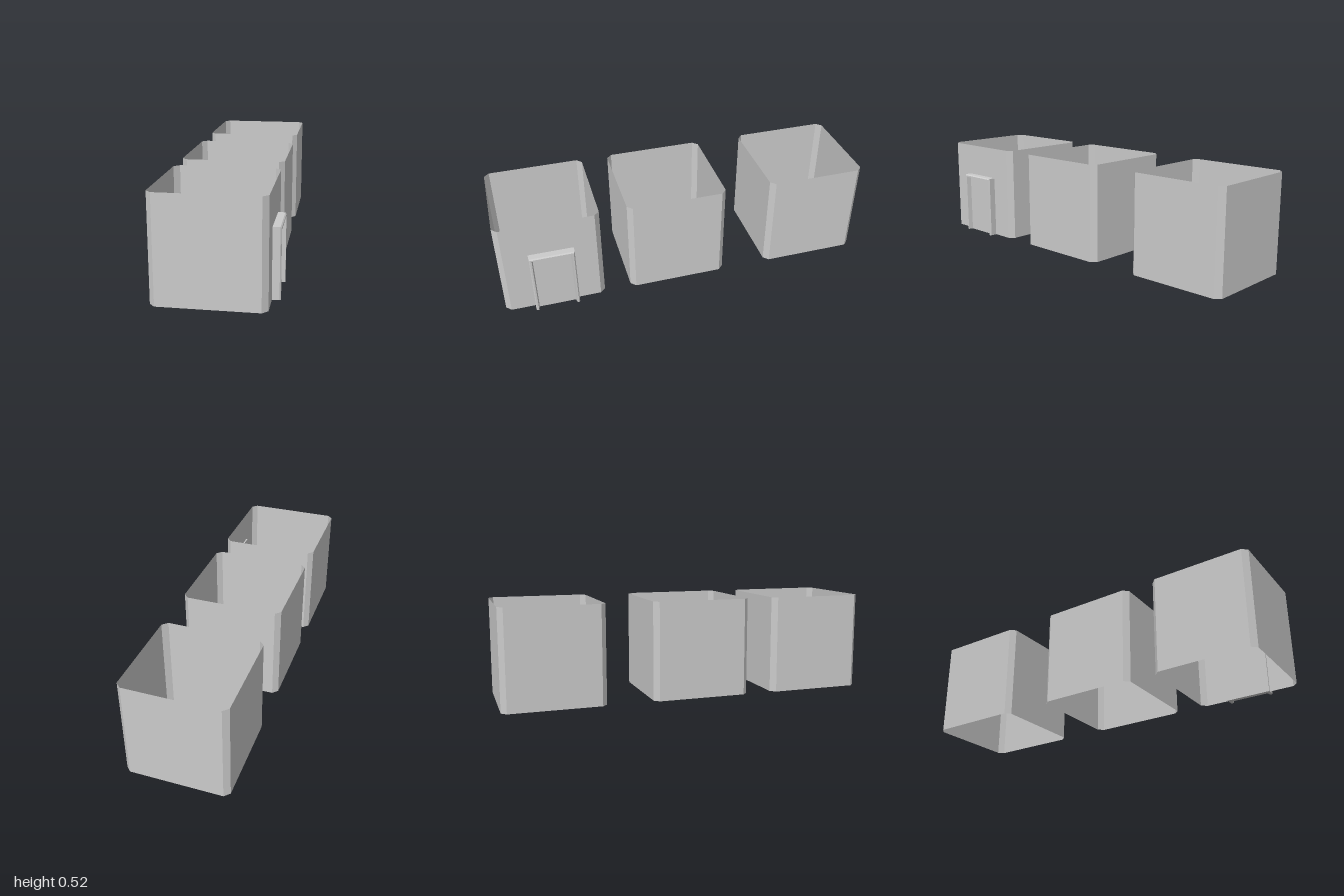
import * as THREE from 'three';

const grey = new THREE.MeshStandardMaterial({ color: 0xcccccc, flatShading: true, side: THREE.DoubleSide });

// Skin a list of closed rings of [x, y, z] points with flat quads
function loft(rings, capped) {
  const pos = [];
  const tri = (a, b, c) => pos.push(...a, ...b, ...c);
  const n = rings[0].length;
  for (let i = 0; i < rings.length - 1; i++) {
    const lo = rings[i], hi = rings[i + 1];
    for (let k = 0; k < n; k++) {
      const m = (k + 1) % n;
      tri(lo[k], lo[m], hi[m]);
      tri(lo[k], hi[m], hi[k]);
    }
  }
  if (capped) {
    const first = rings[0], last = rings[rings.length - 1];
    for (let k = 1; k < n - 1; k++) {
      tri(first[0], first[k + 1], first[k]);
      tri(last[0], last[k], last[k + 1]);
    }
  }
  const g = new THREE.BufferGeometry();
  g.setAttribute('position', new THREE.Float32BufferAttribute(pos, 3));
  g.computeVertexNormals();
  return g;
}

function add(parent, name, geometry) {
  const mesh = new THREE.Mesh(geometry, grey);
  mesh.name = name;
  parent.add(mesh);
  return mesh;
}

export function createModel() {
  const model = new THREE.Group();
  model.name = 'wallBlocks';

  // Open square wall shells with chamfered corners, no roof or floor
  const half = 0.2675, cut = half - 0.027, height = 0.525, wallX = -0.0215;
  const outline = [
    [-cut, half], [cut, half], [half, cut], [half, -cut],
    [cut, -half], [-cut, -half], [-half, -cut], [-half, cut],
  ];
  const shell = loft([0, height].map((y) => outline.map(([x, z]) => [x, y, z])), false);
  [['frontWalls', 0.7325], ['middleWalls', 0.0535], ['backWalls', -0.7325]].forEach(([name, z]) => {
    add(model, name, shell).position.set(wallX, 0, z);
  });

  // Doorway on the side of the front block
  const door = new THREE.Group();
  door.name = 'doorway';
  model.add(door);
  const zNear = 0.847, zFar = 0.613, top = 0.347;
  const backX = 0.238, panelX = 0.262;

  // Frame: a bevelled moulding (inset, x) mitred up, across and down
  const profile = [[0, backX], [0, 0.281], [0.006, 0.287], [0.014, 0.287], [0.02, panelX], [0.02, backX]];
  const frame = [
    (o) => [0, zNear - o], (o) => [top - o, zNear - o],
    (o) => [top - o, zFar + o], (o) => [0, zFar + o],
  ].map((corner) => profile.map(([o, x]) => [x, ...corner(o)]));
  add(door, 'doorFrame', loft(frame, true));

  // Recessed door leaf filling the frame
  const w = zNear - zFar - 0.04, h = top - 0.02;
  const leaf = new THREE.BoxGeometry(panelX - backX, h, w);
  add(door, 'doorPanel', leaf).position.set((panelX + backX) / 2, h / 2, (zNear + zFar) / 2);

  return model;
}
